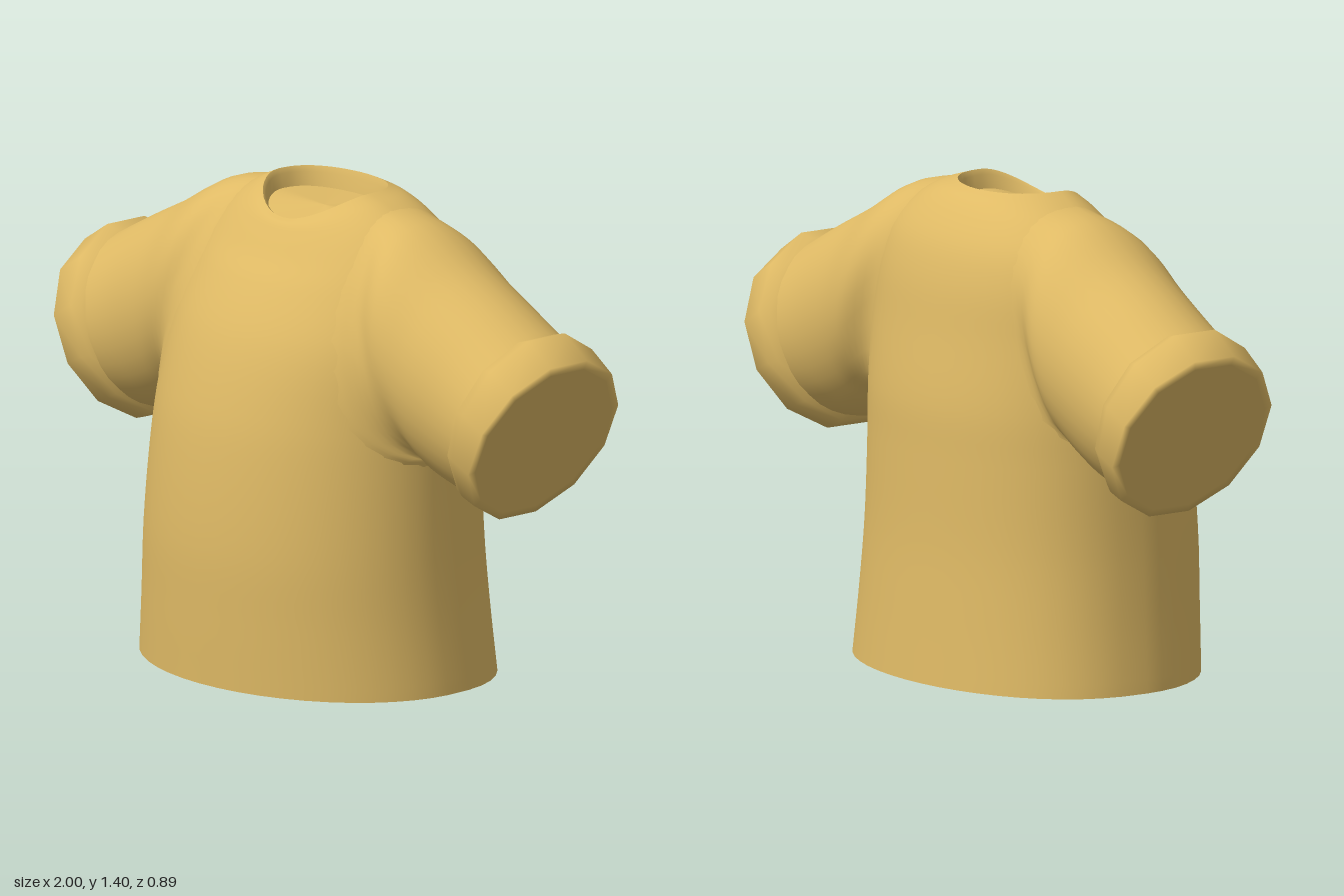
import * as THREE from 'three';

const material = new THREE.MeshStandardMaterial({ color: 0xdfba65 });

// Skin a list of closed rings; the travel direction and ring order set the facing.
function skin(rings) {
  const n = rings[0].length, position = [], index = [];
  rings.forEach(r => r.forEach(p => position.push(p.x, p.y, p.z)));
  for (let i = 0; i < rings.length - 1; i++) {
    for (let j = 0; j < n; j++) {
      const a = i * n + j, b = i * n + (j + 1) % n;
      index.push(a, a + n, b, b, a + n, b + n);
    }
  }
  const g = new THREE.BufferGeometry();
  g.setAttribute('position', new THREE.Float32BufferAttribute(position, 3));
  g.setIndex(index);
  g.computeVertexNormals();
  return g;
}

const curve = points => new THREE.CatmullRomCurve3(points, false, 'centripetal');

// Run a smooth curve through matching points of the rings to get more rings.
function smooth(rings, steps) {
  const columns = rings[0].map((_, j) => curve(rings.map(r => r[j])));
  return Array.from({ length: steps + 1 }, (_, i) => columns.map(c => c.getPoint(i / steps)));
}

// A ring shrunk onto its own middle, used to close an opening.
function middle(ring) {
  const c = new THREE.Vector3();
  ring.forEach(p => c.addScaledVector(p, 1 / ring.length));
  return ring.map(() => c.clone());
}

// Torso sections from hem to neckline, with broad shoulders:
// height, half width, front z, back z, centre x, drop at the front, drop at the back
const torso = [
  [0, 0.57, 0.44, -0.44, -0.02, 0, 0],
  [0.2, 0.547, 0.447, -0.425, -0.018, 0, 0],
  [0.4, 0.53, 0.45, -0.412, -0.016, 0, 0],
  [0.65, 0.515, 0.43, -0.405, -0.014, 0, 0],
  [0.8, 0.507, 0.405, -0.4, -0.01, 0, 0],
  [1.0, 0.495, 0.345, -0.37, 0, 0, 0],
  [1.15, 0.465, 0.265, -0.345, 0, 0, 0],
  [1.25, 0.42, 0.215, -0.312, 0, 0.03, 0],
  [1.33, 0.34, 0.175, -0.262, 0, 0.05, 0],
  [1.375, 0.26, 0.152, -0.22, 0, 0.065, 0],
  [1.4, 0.195, 0.132, -0.185, -0.01, 0.08, 0.005],
];

// The back half is a little squarer than the front.
function bodyPoint([y, halfWidth, front, back, xc, frontDrop, backDrop], t) {
  const s = Math.sin(t), depth = s > 0 ? s : -Math.pow(-s, 0.82);
  return new THREE.Vector3(
    xc + halfWidth * Math.cos(t),
    y - (s > 0 ? frontDrop : backDrop) * s * s,
    (front + back) / 2 + depth * (front - back) / 2);
}

const bodyRing = (section, n = 48) =>
  Array.from({ length: n }, (_, j) => bodyPoint(section, j / n * Math.PI * 2));

// Armhole ring lying on the torso; lift raises it slightly off the surface.
function armholeRing([low, high, spread, lift], side, n) {
  const core = new THREE.Vector3(0, 0.9, -0.03);
  return Array.from({ length: n }, (_, j) => {
    const a = (j + 0.5) / n * Math.PI * 2, turn = spread * Math.sin(a);
    const t = side > 0 ? -turn : Math.PI - turn;
    const u = (low + high) / 2 + (high - low) / 2 * Math.cos(a);
    const p = curve(torso.map(s => bodyPoint(s, t))).getPoint(u);
    return p.sub(core).multiplyScalar(1 + lift).add(core);
  });
}

// Tilted sleeve ring between a top point and a bottom point.
function sleeveRing([tx, ty, bx, by, front, back], side, n) {
  return Array.from({ length: n }, (_, j) => {
    const t = (j + 0.5) / n * Math.PI * 2, k = (1 - Math.cos(t)) / 2;
    return new THREE.Vector3(
      side * (tx + (bx - tx) * k),
      ty + (by - ty) * k,
      (front + back) / 2 - side * Math.sin(t) * (front - back) / 2);
  });
}

export function createModel() {
  const model = new THREE.Group();
  model.name = 'shirt';
  const add = (name, geometry, parent = model) => {
    const mesh = new THREE.Mesh(geometry, material);
    mesh.name = name;
    parent.add(mesh);
  };

  // Torso with a closed hem
  const body = torso.map(s => bodyRing(s));
  add('torso', skin(smooth(body, 50)));
  add('hemBase', skin([middle(body[0]), body[0]]));

  // Shallow neck opening with a sloping floor
  const rim = body[body.length - 1];
  const floor = bodyRing([1.345, 0.178, 0.118, -0.17, -0.01, 0.05, 0.01]);
  add('neckWall', skin([rim, bodyRing([1.385, 0.186, 0.125, -0.178, -0.01, 0.07, 0.01]), floor]));
  add('neckFloor', skin([floor, middle(floor)]));

  // Sleeves growing smoothly out of the torso
  const armhole = [
    [0.3, 0.9, 1.0, -0.012],
    [0.32, 0.86, 0.8, 0.01],
  ];
  const sleeve = [
    [0.41, 1.338, 0.515, 0.672, 0.212, -0.312],
    [0.58, 1.245, 0.565, 0.64, 0.202, -0.306],
    [0.74, 1.165, 0.63, 0.615, 0.192, -0.302],
    [0.87, 1.095, 0.72, 0.6, 0.19, -0.302],
  ];
  // Thick faceted cuff with a rounded lip
  const cuff = [
    [0.835, 1.085, 0.705, 0.625, 0.165, -0.28],
    [0.865, 1.107, 0.708, 0.585, 0.203, -0.322],
    [0.905, 1.118, 0.735, 0.565, 0.212, -0.335],
    [1.004, 1.055, 0.775, 0.553, 0.207, -0.33],
    [0.997, 1.03, 0.785, 0.575, 0.183, -0.306],
  ];
  for (const side of [1, -1]) {
    const arm = new THREE.Group();
    arm.name = side > 0 ? 'leftSleeve' : 'rightSleeve';
    model.add(arm);
    const rings = [
      ...armhole.map(r => armholeRing(r, side, 36)),
      ...sleeve.map(r => sleeveRing(r, side, 36)),
    ];
    add('sleeve', skin(smooth(rings, 25)), arm);
    const lip = cuff.map(r => sleeveRing(r, side, 12));
    add('cuff', skin(lip), arm);
    add('cuffEnd', skin([lip[4], middle(lip[4])]), arm);
  }
  return model;
}
